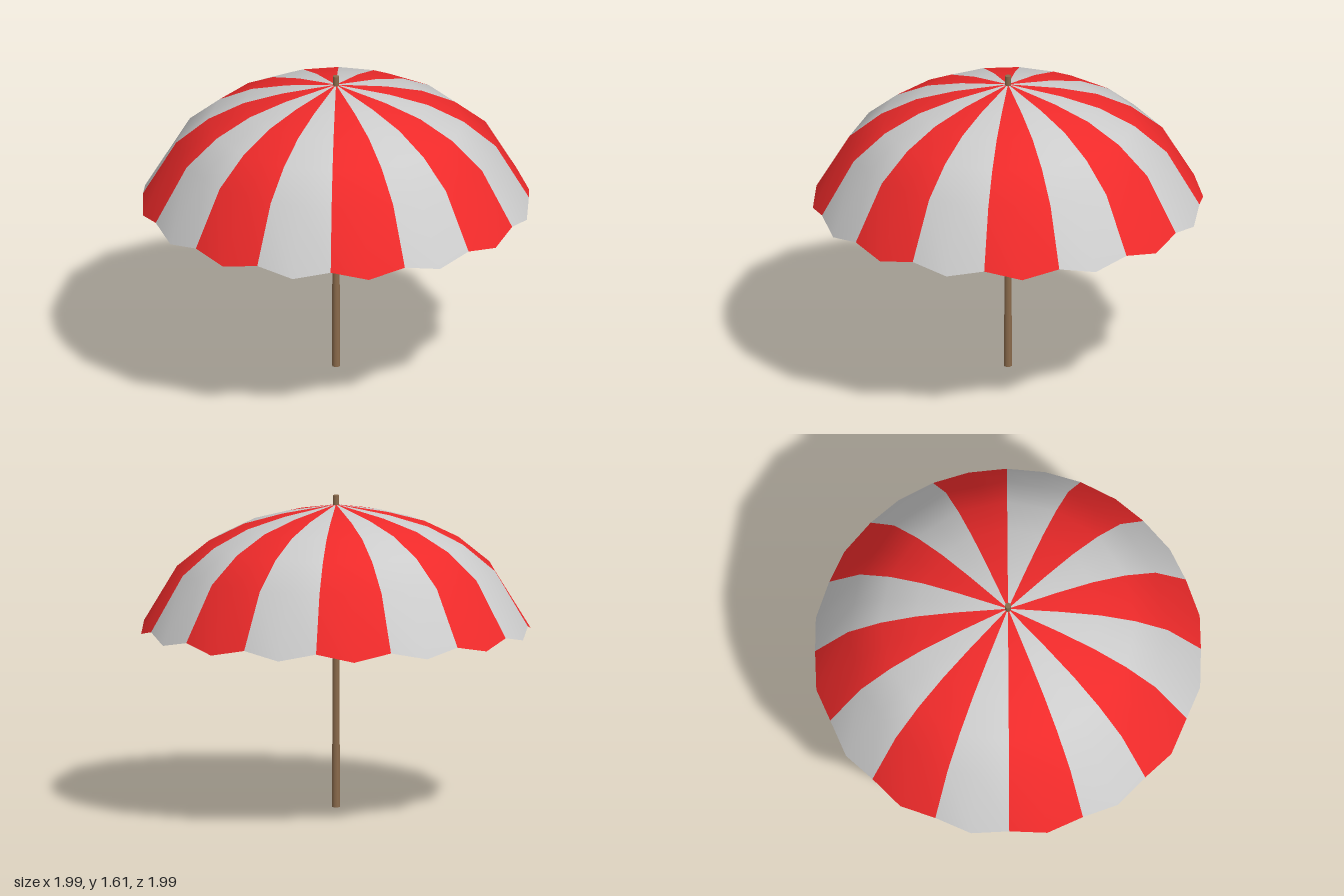
import * as THREE from 'three';

const PANELS = 16;
const COLS = PANELS * 2; // two strips per panel: seam, middle, seam

// radius and height along a seam, from the crown to the rim
const SEAM = [[0.275, 1.51], [0.47, 1.455], [0.65, 1.365], [0.815, 1.23], [0.983, 0.948]];
const APEX = 1.563;
const RIM_MIDDLE = [0.997, 0.908]; // rim droops between the seams

function canopyVertices() {
  const pos = [0, APEX, 0];
  const chord = Math.cos(Math.PI / PANELS);
  SEAM.forEach(([r, y], ring) => {
    for (let j = 0; j < COLS; j++) {
      const a = (j - 1) * Math.PI / PANELS;
      const middle = j % 2 === 1;
      let radius = middle ? r * chord : r;
      let height = y;
      if (middle && ring === SEAM.length - 1) [radius, height] = RIM_MIDDLE;
      pos.push(Math.sin(a) * radius, height, Math.cos(a) * radius);
    }
  });
  return new THREE.Float32BufferAttribute(pos, 3);
}

// triangles of the panels for which pick(panel) is true
function canopyIndex(pick) {
  const index = [];
  for (let j = 0; j < COLS; j++) {
    if (!pick(Math.floor(j / 2))) continue;
    const k = (j + 1) % COLS;
    index.push(0, 1 + j, 1 + k);
    for (let ring = 1; ring < SEAM.length; ring++) {
      const inner = 1 + (ring - 1) * COLS;
      const outer = inner + COLS;
      index.push(inner + j, outer + j, outer + k, inner + j, outer + k, inner + k);
    }
  }
  return index;
}

export function createModel() {
  const group = new THREE.Group();

  // whole canopy, used so the normals run smoothly across the panels
  const whole = new THREE.BufferGeometry();
  whole.setAttribute('position', canopyVertices());
  whole.setIndex(canopyIndex(() => true));
  whole.computeVertexNormals();

  const canopy = new THREE.Group();
  canopy.name = 'canopy';
  [['greyPanels', 0xcccccc], ['redPanels', 0xee2a2a]].forEach(([name, color], parity) => {
    const geo = new THREE.BufferGeometry();
    geo.setAttribute('position', whole.getAttribute('position'));
    geo.setAttribute('normal', whole.getAttribute('normal'));
    geo.setIndex(canopyIndex((panel) => panel % 2 === parity));
    const mesh = new THREE.Mesh(geo, new THREE.MeshStandardMaterial({ color, side: THREE.DoubleSide }));
    mesh.name = name;
    canopy.add(mesh);
  });
  group.add(canopy);

  // slightly tapered pole, its tip standing above the crown
  const pole = new THREE.Mesh(
    new THREE.CylinderGeometry(0.016, 0.021, 1.61, 8),
    new THREE.MeshStandardMaterial({ color: 0x8b6b4c })
  );
  pole.name = 'pole';
  pole.position.y = 0.805;
  group.add(pole);

  return group;
}
